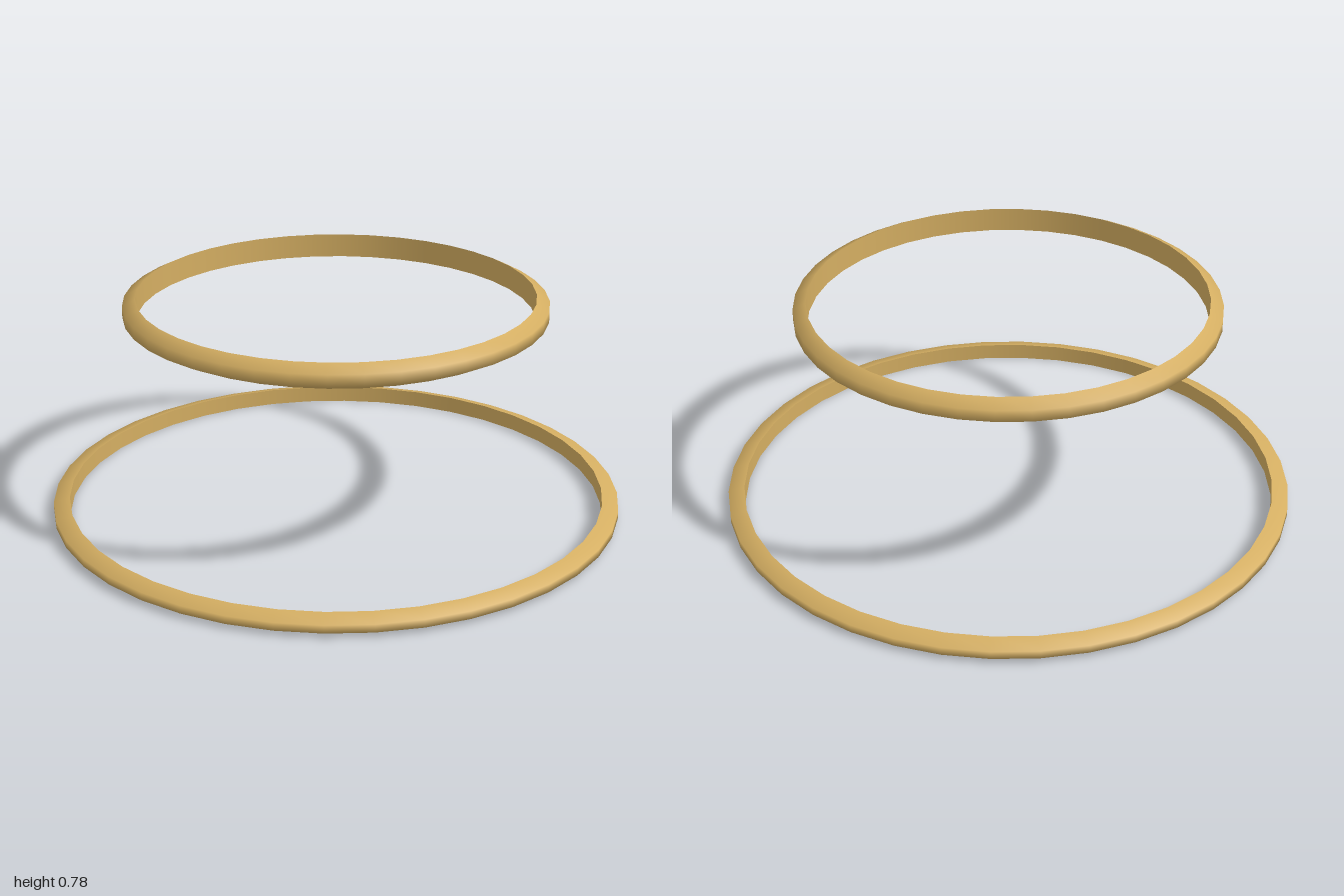
import * as THREE from 'three';

const SEGMENTS = 40;

// Hoop with a flat inner wall and a faceted, smoothly shaded outer bulge
function makeRing(name, inner, outer, bottom, top, rim, material) {
  const ring = new THREE.Group();
  ring.name = name;
  const mid = (bottom + top) / 2;
  const p = (r, y) => new THREE.Vector2(r, y);

  const bulge = new THREE.Mesh(new THREE.LatheGeometry(
    [p(inner, bottom), p(outer, mid - rim), p(outer, mid + rim), p(inner, top)], SEGMENTS), material);
  bulge.name = name + 'OuterBulge';

  // Profile runs downward so the wall faces the axis
  const wall = new THREE.Mesh(new THREE.LatheGeometry(
    [p(inner, top), p(inner, bottom)], SEGMENTS), material);
  wall.name = name + 'InnerWall';

  ring.add(bulge, wall);
  return ring;
}

export function createModel() {
  const gold = new THREE.MeshStandardMaterial({ color: 0xd4ae62 });
  gold.name = 'gold';

  const model = new THREE.Group();
  model.name = 'floatingRings';
  model.add(
    makeRing('lowerRing', 0.943, 1.0, 0, 0.06, 0.014, gold),
    makeRing('upperRing', 0.685, 0.73, 0.697, 0.783, 0.02, gold),
  );
  return model;
}
